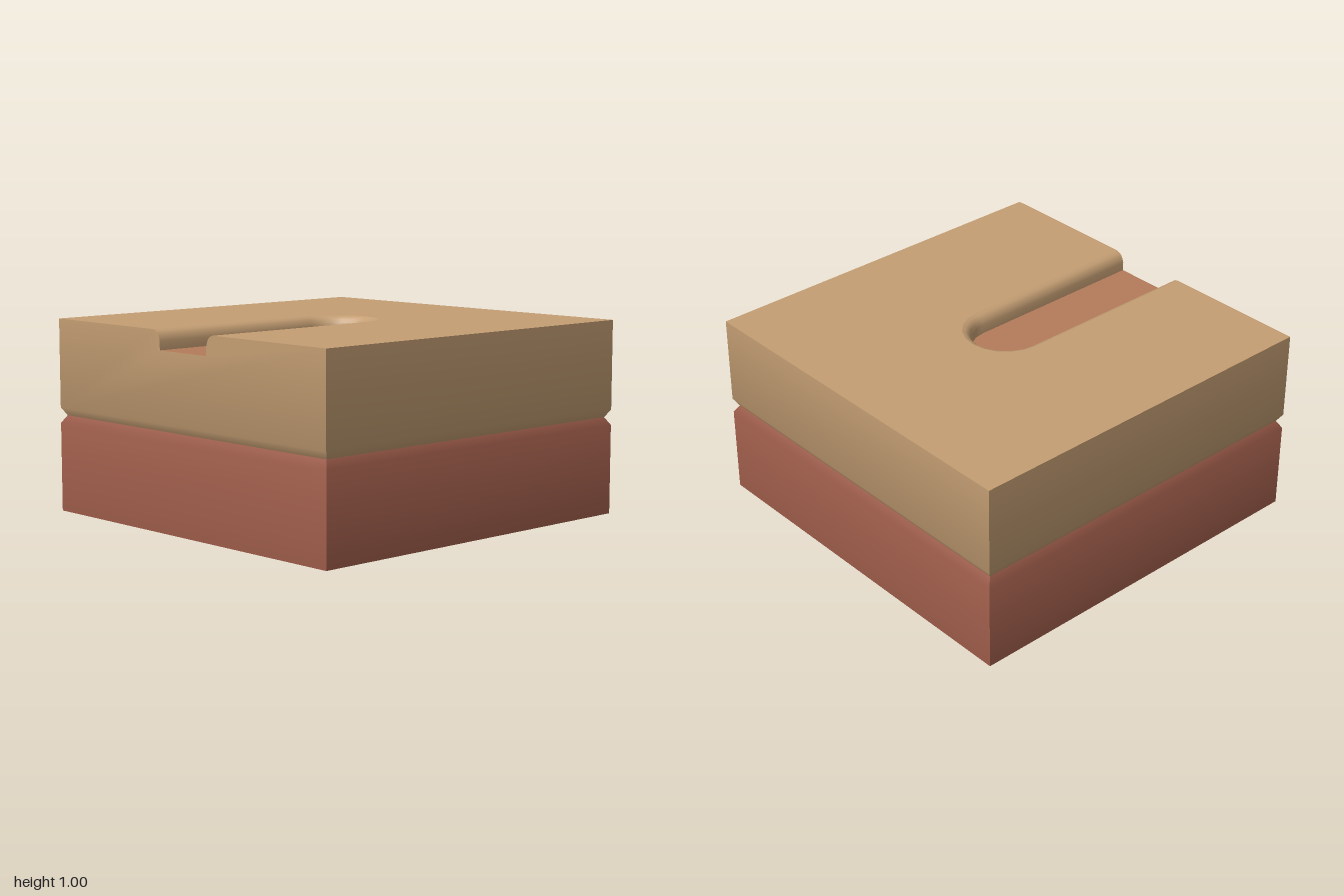
import * as THREE from 'three';

const SEAM = 0.5, BEVEL = 0.04, INSET = 0.025;
const FLOOR = 0.9;
// half width and height of the channel wall, from floor to rounded lip
const LIP = [[0.175, FLOOR], [0.175, 0.945], [0.182, 0.968], [0.192, 0.984], [0.205, 0.994], [0.222, 1]];

const material = (color) => new THREE.MeshStandardMaterial({ color, side: THREE.DoubleSide });

// U-shaped outline of the channel, as [x, z] from front left round to front right
function channelOutline(w, steps = 10) {
  const pts = [[-w, 1]];
  for (let i = 0; i <= steps; i++) {
    const a = Math.PI * (1 - i / steps);
    pts.push([w * Math.cos(a), -w * Math.sin(a)]);
  }
  pts.push([w, 1]);
  return pts;
}

const shapeOf = (pts) => new THREE.ShapeGeometry(new THREE.Shape(pts.map(([x, y]) => new THREE.Vector2(x, y))));

// Horizontal face from an [x, z] outline
const flatFace = (pts, y) => shapeOf(pts.map(([x, z]) => [x, -z])).rotateX(-Math.PI / 2).translate(0, y, 0);

// Surface through rows of points, rows going up and columns going right
function loft(rows) {
  const n = rows[0].length, index = [];
  for (let r = 0; r < rows.length - 1; r++) {
    for (let c = 0; c < n - 1; c++) {
      const a = r * n + c, d = a + n;
      index.push(a, a + 1, d + 1, a, d + 1, d);
    }
  }
  const geo = new THREE.BufferGeometry();
  geo.setAttribute('position', new THREE.Float32BufferAttribute(rows.flat(2), 3));
  geo.setIndex(index);
  geo.computeVertexNormals();
  return geo;
}

// Blend the shading of wall and bevel along the edge where they meet
function softenEdge(geo, y, ny) {
  const p = geo.attributes.position, n = geo.attributes.normal;
  for (let i = 0; i < p.count; i++) {
    if (Math.abs(p.getY(i) - y) < 1e-4) n.setXYZ(i, 0, ny, 0.96);
  }
  return geo;
}

function add(group, name, geo, mat) {
  const mesh = new THREE.Mesh(geo, mat);
  mesh.name = name;
  group.add(mesh);
  return mesh;
}

export function createModel() {
  const model = new THREE.Group();
  model.name = 'channelBlock';
  const tan = material(0xc49e73), red = material(0x9a5a48), clay = material(0xb57b5b);

  const upper = new THREE.Group();
  upper.name = 'upperLayer';
  const lower = new THREE.Group();
  lower.name = 'lowerLayer';
  model.add(upper, lower);

  const bevelRow = (y, r) => [[-r, y, r], [r, y, r]];
  const yUp = SEAM + BEVEL, yLow = SEAM - BEVEL, rIn = 1 - INSET;

  // Four side walls with the bevelled seam; the front one is notched by the channel
  for (let k = 0; k < 4; k++) {
    const notch = k === 0
      ? [...LIP.slice().reverse(), ...LIP.map(([x, y]) => [-x, y])] : [];
    const walls = [
      [upper, 'upperWall', shapeOf([[-1, yUp], [1, yUp], [1, 1], ...notch, [-1, 1]]), tan, yUp, -0.28],
      [upper, 'upperBevel', loft([bevelRow(SEAM, rIn), bevelRow(yUp, 1)]), tan, yUp, -0.28],
      [lower, 'lowerWall', shapeOf([[-1, 0], [1, 0], [1, yLow], [-1, yLow]]), red, yLow, 0.28],
      [lower, 'lowerBevel', loft([bevelRow(yLow, 1), bevelRow(SEAM, rIn)]), red, yLow, 0.28],
    ];
    for (const [group, name, geo, mat, y, ny] of walls) {
      if (name.endsWith('Wall')) geo.translate(0, 0, 1);
      softenEdge(geo, y, ny);
      add(group, name, geo, mat).rotation.y = k * Math.PI / 2;
    }
  }

  // Top surface around the channel, channel wall with rounded lip, channel floor
  const rim = channelOutline(LIP[LIP.length - 1][0]);
  add(upper, 'topSurface', flatFace([[-1, 1], ...rim, [1, 1], [1, -1], [-1, -1]], 1), tan);
  add(upper, 'channelWall', loft(LIP.map(([w, y]) => channelOutline(w).map(([x, z]) => [x, y, z]))), tan);
  add(model, 'channelFloor', flatFace(channelOutline(LIP[0][0]), FLOOR), clay);

  // Underside
  add(lower, 'underside', new THREE.PlaneGeometry(2, 2).rotateX(Math.PI / 2), red);
  return model;
}
